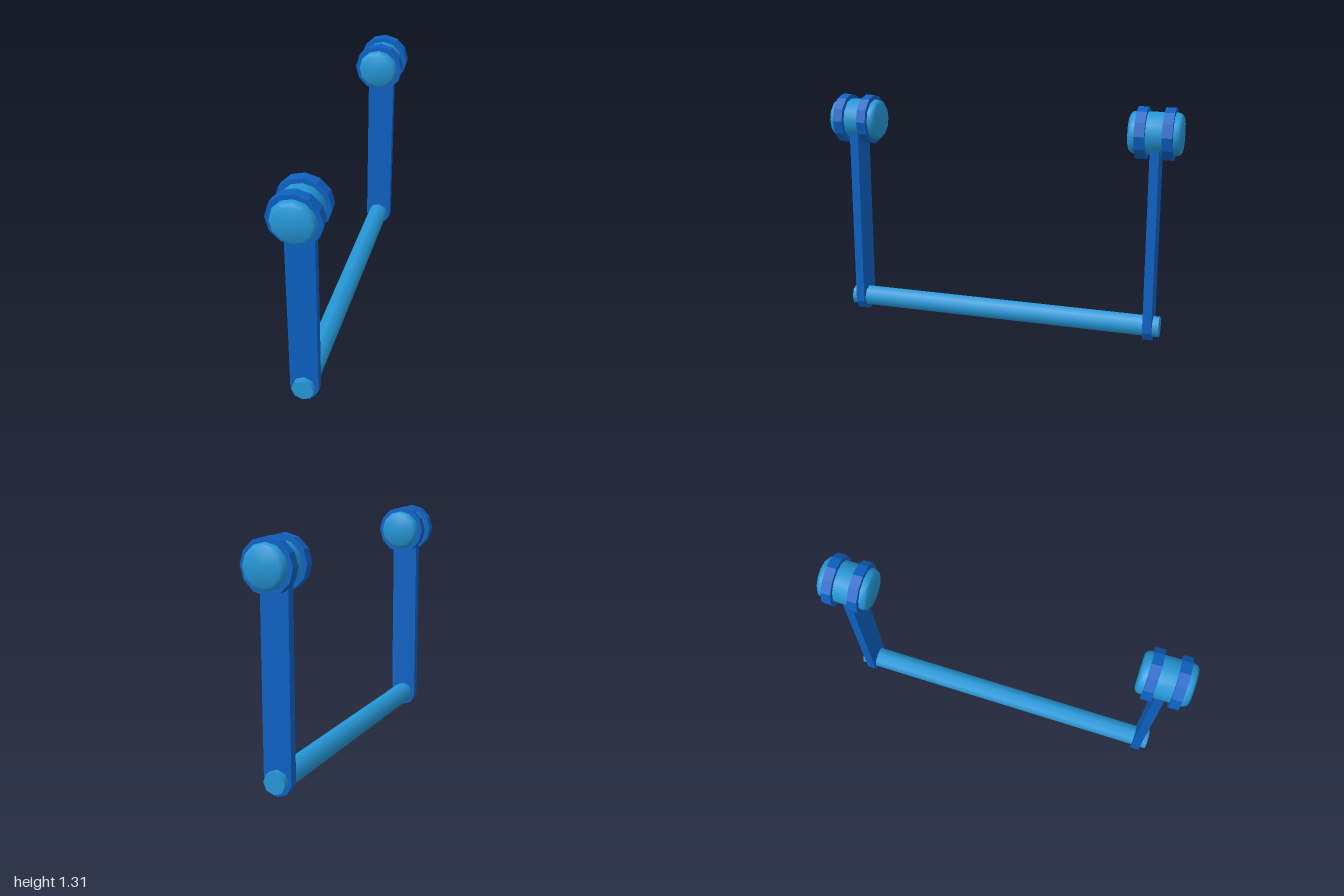
import * as THREE from 'three';
import { toCreasedNormals } from 'three/addons/utils/BufferGeometryUtils.js';

const V = (x, y) => new THREE.Vector2(x, y);

export function createModel() {
  const group = new THREE.Group();
  const lightBlue = new THREE.MeshStandardMaterial({ color: 0x2598d8 });
  lightBlue.name = 'light blue';
  const deepBlue = new THREE.MeshStandardMaterial({ color: 0x0d62c4 });
  deepBlue.name = 'deep blue';

  const add = (name, geometry, material, y, z) => {
    const mesh = new THREE.Mesh(geometry, material);
    mesh.name = name;
    mesh.position.set(0, y, z);
    group.add(mesh);
  };

  // Smooth crossbar running front to back
  const bar = new THREE.CylinderGeometry(0.0615, 0.0615, 1.846, 8).rotateX(Math.PI / 2);
  add('crossbar', bar, lightBlue, 0.084, 0);

  // Flat arm with a faceted round foot
  const outline = new THREE.Shape([
    V(-0.077, 1.09), V(-0.077, 0.066), V(-0.052, 0.021), V(0, 0),
    V(0.052, 0.021), V(0.077, 0.066), V(0.077, 1.09),
  ]);
  const arm = new THREE.ExtrudeGeometry(outline, { depth: 0.05, bevelEnabled: false })
    .translate(0, 0, -0.025);

  // Barrel with softened rims
  const profile = [
    V(0, -0.14), V(0.095, -0.14), V(0.109, -0.13), V(0.1155, -0.112),
    V(0.1155, 0.112), V(0.109, 0.13), V(0.095, 0.14), V(0, 0.14),
  ];
  const barrel = toCreasedNormals(new THREE.LatheGeometry(profile, 12), 0.7)
    .rotateX(Math.PI / 2);

  // Faceted collar around the barrel
  const collar = toCreasedNormals(new THREE.CylinderGeometry(0.141, 0.141, 0.054, 12), 0.2)
    .rotateX(Math.PI / 2);

  // Same post at each end of the bar
  for (const [side, s] of [['front', 1], ['back', -1]]) {
    add(side + 'Arm', arm, deepBlue, 0, s * 0.863);
    add(side + 'Barrel', barrel, lightBlue, 1.166, s * 0.86);
    add(side + 'InnerCollar', collar, deepBlue, 1.166, s * 0.788);
    add(side + 'OuterCollar', collar, deepBlue, 1.166, s * 0.932);
  }
  return group;
}
